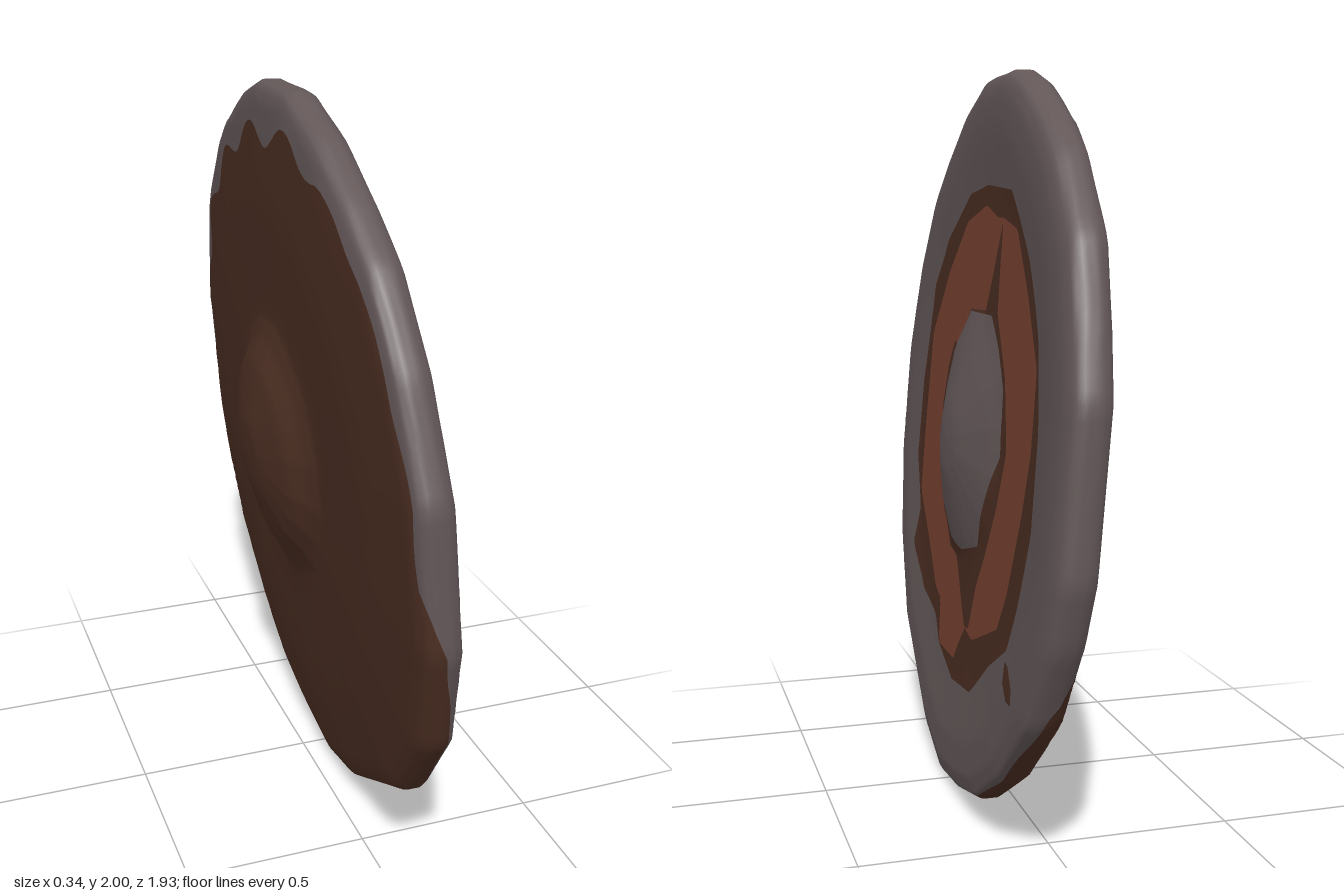
import * as THREE from 'three';

const N = 180; // samples around the disc
const material = (name, color) => {
  const m = new THREE.MeshStandardMaterial({ color });
  m.name = name;
  return m;
};

// Outlines as [z, height above centre], counter-clockwise from +z
const OUTLINE = [[.965, 0], [.96, .2], [.85, .48], [.7, .69], [.55, .8], [.35, .92], [.13, 1], [-.13, 1],
  [-.27, .96], [-.5, .85], [-.62, .77], [-.82, .57], [-.91, .36], [-.96, .21], [-.96, -.2], [-.91, -.36],
  [-.79, -.58], [-.57, -.79], [-.36, -.92], [-.17, -.97], [.06, -1], [.3, -.94], [.69, -.72], [.88, -.47], [.97, -.17]];
const BOSS = [[.34, .07], [.28, .22], [.18, .28], [.1, .35], [-.15, .35], [-.25, .27], [-.33, .17], [-.35, 0],
  [-.25, -.17], [-.2, -.27], [-.05, -.31], [.1, -.3], [.25, -.2], [.33, -.07]];
const INNER_STAIN = [[.38, .05], [.34, .17], [.28, .25], [.23, .24], [.17, .29], [.1, .355], [-.08, .36],
  [-.14, .48], [-.18, .6], [-.2, .6], [-.2, .5], [-.21, .36], [-.34, .2], [-.41, .02], [-.35, -.14], [-.27, -.28],
  [-.2, -.38], [-.15, -.51], [-.1, -.52], [-.02, -.43], [.05, -.35], [.14, -.34], [.27, -.23], [.36, -.07]];
const PAINT = [[.62, -.05], [.6, .25], [.42, .45], [.22, .6], [0, .645], [-.14, .61], [-.2, .61], [-.35, .58],
  [-.5, .42], [-.63, .25], [-.635, .05], [-.6, -.1], [-.52, -.32], [-.45, -.43], [-.2, -.53], [-.11, -.52],
  [-.05, -.58], [0, -.64], [.2, -.65], [.22, -.52], [.3, -.5], [.45, -.38], [.62, -.26]];
const OUTER_STAIN = [[.69, .1], [.6, .4], [.45, .55], [.2, .68], [0, .7], [-.28, .68], [-.38, .6], [-.5, .5],
  [-.63, .32], [-.69, .1], [-.7, -.13], [-.63, -.34], [-.57, -.45], [-.4, -.54], [-.22, -.67], [0, -.7],
  [.2, -.65], [.27, -.58], [.45, -.55], [.64, -.44], [.61, -.32], [.7, -.15]];

// Cross-section from front centre over the edge to back centre: [radius fraction, thickness offset]
const SECTION = [[0, .115], [.1, .11], [.27, .07], [.36, .045], [.7, .045], [.85, .06], [.94, .058], [.985, .045],
  [1, .02], [1, -.02], [.985, -.045], [.94, -.06], [.7, -.085], [.38, -.095], [.32, -.115], [.25, -.155],
  [.1, -.195], [0, -.2]];
const END = SECTION.length - 1;

// Where the metal stops along the cross-section: [degrees, section position]
const METAL_END = [[0, 10.3], [45, 10.8], [90, 11.3], [135, 11.2], [180, 11], [205, 10.6], [215, 8.3], [240, 7.4],
  [270, 7.5], [310, 7.1], [340, 7.8], [350, 8.5], [360, 10.3]];

const cross = (a, b) => a[0] * b[1] - a[1] * b[0];

// Distance from the centre to an outline at a given angle
function radiusAt(points, angle) {
  const d = [Math.cos(angle), Math.sin(angle)];
  for (let i = 0; i < points.length; i++) {
    const a = points[i], b = points[(i + 1) % points.length];
    if (cross(a, d) >= -1e-9 && cross(d, b) > 0 && (a[0] + b[0]) * d[0] + (a[1] + b[1]) * d[1] > 0) {
      return cross(a, b) / cross(d, [b[0] - a[0], b[1] - a[1]]);
    }
  }
  return 0;
}

// Section position on the front face for a radius
function frontPosition(r, angle) {
  const q = r / radiusAt(OUTLINE, angle);
  let i = 0;
  while (i < 7 && SECTION[i + 1][0] < q) i++;
  const [a, b] = [SECTION[i][0], SECTION[i + 1][0]];
  return i + (q - a) / (b - a);
}

// Point on the leaning disc
function surfacePoint(s, angle, lift = 0) {
  const i = Math.min(Math.floor(s), END - 1), t = s - i;
  const r = THREE.MathUtils.lerp(SECTION[i][0], SECTION[i + 1][0], t) * radiusAt(OUTLINE, angle);
  const h = THREE.MathUtils.lerp(SECTION[i][1], SECTION[i + 1][1], t) + lift;
  const z = r * Math.cos(angle), y = r * Math.sin(angle);
  return [h + .03 - .08 * y - .035 * z, 1 + y, z];
}

function metalEnd(angle) {
  const deg = THREE.MathUtils.radToDeg(angle) % 360;
  const i = Math.max(1, METAL_END.findIndex(p => p[0] > deg));
  const [a, b] = [METAL_END[i - 1], METAL_END[i]];
  return THREE.MathUtils.mapLinear(deg, a[0], b[0], a[1], b[1]) + .12 * Math.sin(angle * 17);
}

// Ring of surface between two section positions that vary with the angle
function band(name, mat, from, to, steps) {
  const positions = [], index = [];
  for (let i = 0; i < N; i++) {
    const angle = i / N * Math.PI * 2, s0 = from(angle), s1 = to(angle);
    for (let j = 0; j <= steps; j++) {
      positions.push(...surfacePoint(THREE.MathUtils.lerp(s0, s1, j / steps), angle));
      if (j === steps) continue;
      const a = i * (steps + 1) + j, b = ((i + 1) % N) * (steps + 1) + j;
      index.push(a, b, a + 1, b, b + 1, a + 1);
    }
  }
  const g = new THREE.BufferGeometry();
  g.setAttribute('position', new THREE.Float32BufferAttribute(positions, 3));
  g.setIndex(index);
  g.computeVertexNormals();
  const mesh = new THREE.Mesh(g, mat);
  mesh.name = name;
  return mesh;
}

// Small stain lying just above the rim
function spot(mat) {
  const points = [[-.65, -.51], [-.59, -.47], [-.63, -.47], [-.69, -.51], [-.69, -.55], [-.65, -.55], [-.6, -.52]];
  const positions = points.flatMap(([z, y]) => {
    const angle = Math.atan2(y, z);
    return surfacePoint(frontPosition(Math.hypot(z, y), angle), angle, .004);
  });
  const g = new THREE.BufferGeometry();
  g.setAttribute('position', new THREE.Float32BufferAttribute(positions, 3));
  g.setIndex([1, 2, 3, 4, 5, 6].flatMap(i => [0, i, i % 6 + 1]));
  g.computeVertexNormals();
  const mesh = new THREE.Mesh(g, mat);
  mesh.name = 'rimStain';
  return mesh;
}

export function createModel() {
  const metal = material('grey metal', 0x635758);
  const paint = material('rust red paint', 0x784131);
  const wood = material('dark brown wood', 0x4b2e22);
  const stain = wood.clone() && wood;
  stain.side = THREE.DoubleSide;

  // Nested boundaries, each kept outside the previous one
  const edges = [BOSS, INNER_STAIN, PAINT, OUTER_STAIN].map((_, k, all) => angle =>
    frontPosition(Math.max(...all.slice(0, k + 1).map(p => radiusAt(p, angle))), angle));

  const group = new THREE.Group();
  group.name = 'roundShield';
  group.add(
    band('boss', metal, () => 0, edges[0], 10),
    band('innerWoodRing', wood, edges[0], edges[1], 3),
    band('paintedRing', paint, edges[1], edges[2], 5),
    band('outerWoodRing', wood, edges[2], edges[3], 3),
    band('metalRim', metal, edges[3], metalEnd, 20),
    band('woodenBack', wood, metalEnd, () => END, 30),
    spot(stain),
  );
  return group;
}
